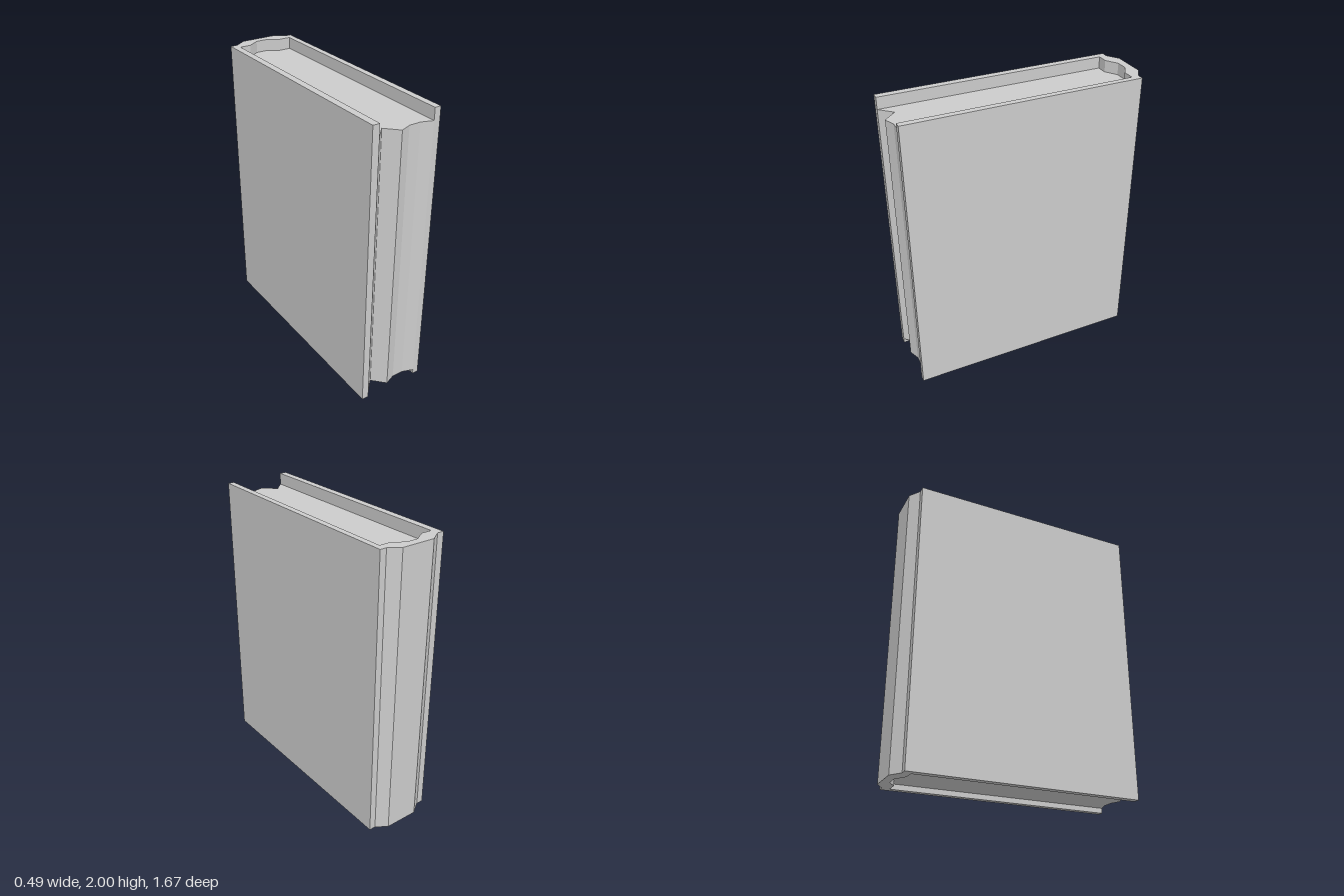
import * as THREE from 'three';

const material = new THREE.MeshStandardMaterial({ color: 0xcccccc, flatShading: true });

// Upright prism from an [x, z] outline, between two heights
function prism(name, outline, bottom, top) {
  const shape = new THREE.Shape(outline.map(([x, z]) => new THREE.Vector2(x, -z)));
  const geometry = new THREE.ExtrudeGeometry(shape, { depth: top - bottom, bevelEnabled: false });
  geometry.rotateX(-Math.PI / 2).translate(0, bottom, 0);
  const mesh = new THREE.Mesh(geometry, material);
  mesh.name = name;
  return mesh;
}

export function createModel() {
  const book = new THREE.Group();
  book.name = 'book';

  // Outside of the boards and the rounded spine, from left board to right board
  const outside = [
    [0.245, 0.83], [0.235, -0.788], [0.19, -0.788], [0.115, -0.838],
    [-0.12, -0.838], [-0.2, -0.783], [-0.248, -0.783], [-0.238, 0.835],
  ];
  // Inside of the cover, right board back round to the left board
  const inside = [
    [-0.19, 0.835], [-0.2, -0.73], [-0.125, -0.73], [-0.045, -0.783],
    [0.04, -0.783], [0.11, -0.735], [0.195, -0.735], [0.202, 0.83],
  ];
  // Uneven front edge of the pages, with a notch
  const foreEdge = [[0.125, 0.803], [0.045, 0.803], [-0.03, 0.833], [-0.11, 0.75]];

  book.add(prism('cover', [...outside, ...inside], 0, 2));
  book.add(prism('pages', [...inside, ...foreEdge], 0.035, 1.92));
  return book;
}
